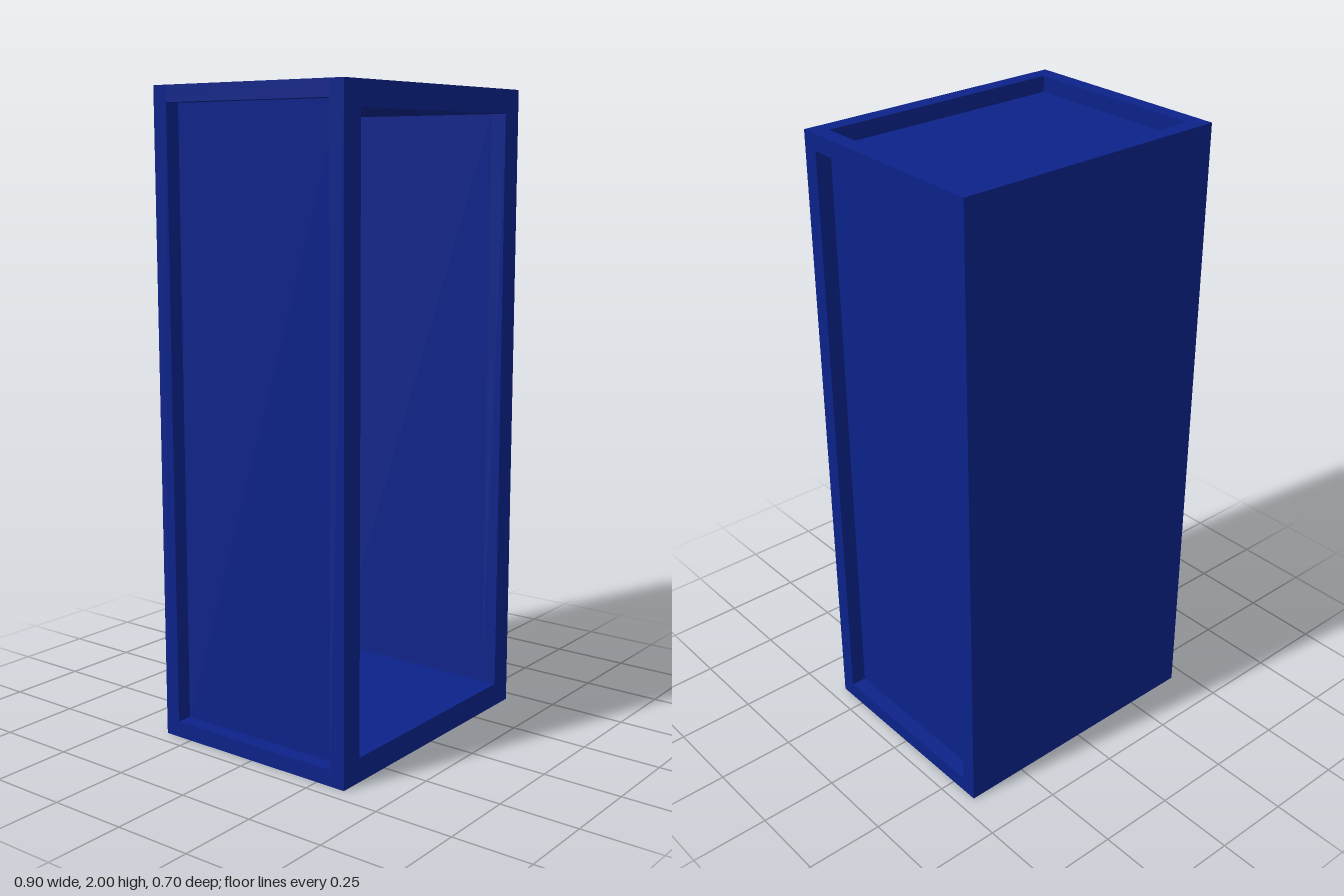
import * as THREE from 'three';

const W = 0.9, H = 2, D = 0.7;
const RIM = 0.05;      // width of the raised rims and depth of the recesses
const WALL = 0.025;    // thickness of the recessed panels

export function createModel() {
  const blue = new THREE.MeshStandardMaterial({ color: 0x0b2288 });
  blue.name = 'deep blue';
  const group = new THREE.Group();
  group.name = 'openCabinet';

  const add = (name, geometry, x, y, z) => {
    const mesh = new THREE.Mesh(geometry, blue);
    mesh.name = name;
    mesh.position.set(x, y, z);
    group.add(mesh);
  };

  const rectangle = (Type, inset) => {
    const x = W / 2 - inset, y = H / 2 - inset;
    return new Type([[-x, -y], [x, -y], [x, y], [-x, y]].map(p => new THREE.Vector2(...p)));
  };

  // Rectangular ring in the xy plane, extruded towards +z
  const ring = (outerInset, innerInset, depth) => {
    const shape = rectangle(THREE.Shape, outerInset);
    shape.holes.push(rectangle(THREE.Path, innerInset));
    return new THREE.ExtrudeGeometry(shape, { depth, bevelEnabled: false });
  };

  const span = D - 2 * RIM;

  // Front frame around the opening
  add('frontFrame', ring(0, RIM + WALL, RIM), 0, H / 2, D / 2 - RIM);

  // Recessed sides, top and bottom as one hollow shell
  add('recessedShell', ring(RIM, RIM + WALL, span), 0, H / 2, -span / 2);

  // Solid back with the inner back wall in front of it
  add('backPanel', new THREE.BoxGeometry(W, H, RIM), 0, H / 2, -D / 2 + RIM / 2);
  const inner = 2 * (RIM + WALL);
  add('innerBackWall', new THREE.BoxGeometry(W - inner, H - inner, RIM), 0, H / 2, -D / 2 + RIM * 1.5);

  // Four corner rails joining the front frame to the back
  for (const [side, sx] of [['left', 1], ['right', -1]]) {
    for (const [level, y] of [['Bottom', RIM / 2], ['Top', H - RIM / 2]]) {
      add(`${side}${level}Rail`, new THREE.BoxGeometry(RIM, RIM, span), sx * (W - RIM) / 2, y, 0);
    }
  }

  return group;
}
